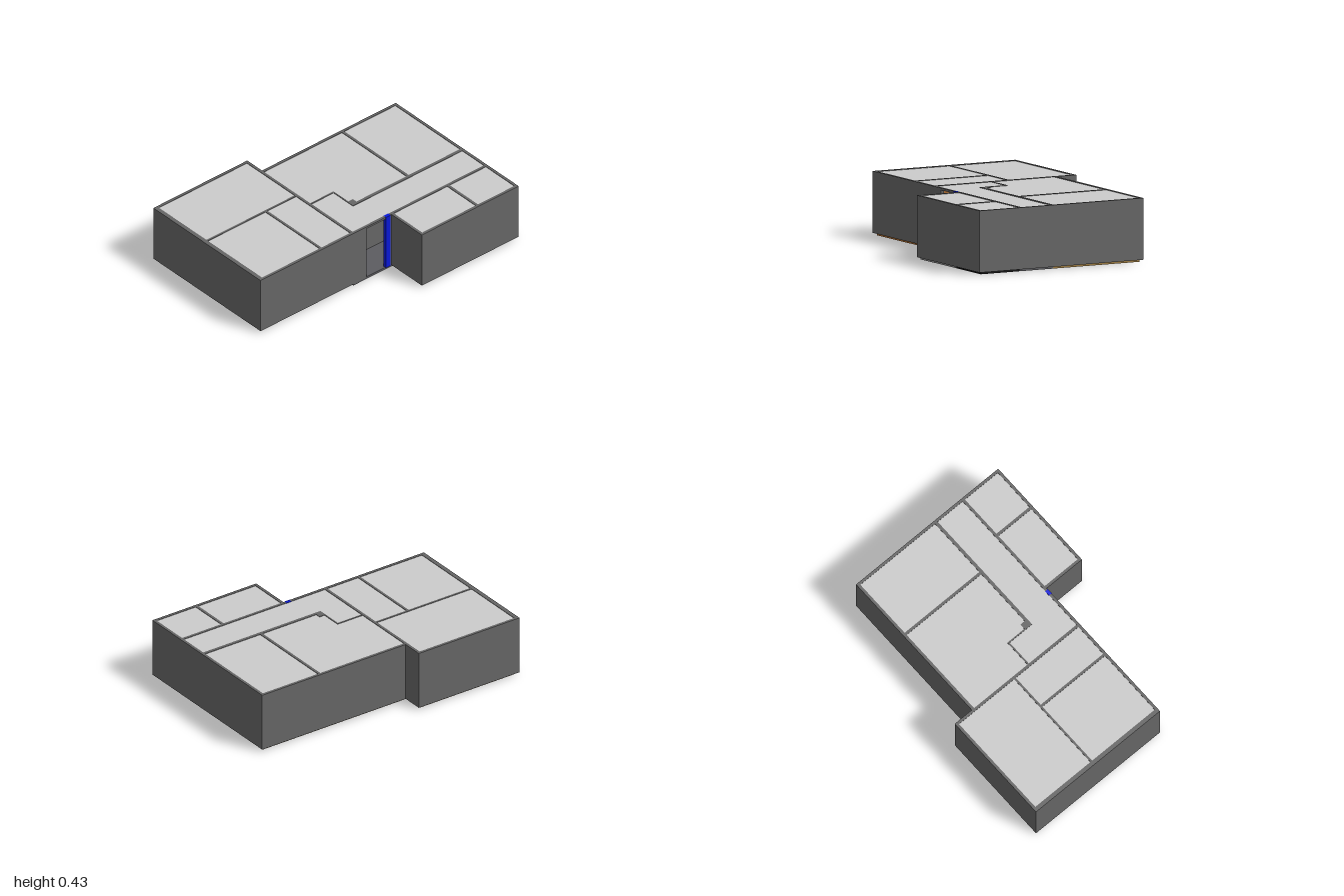
import * as THREE from 'three';

export function createModel() {
  const model = new THREE.Group();
  model.name = 'floorPlanHouse';
  const BASE = 0.015, TOP = 0.43, HEAD = 0.415;

  const mat = (color) => new THREE.MeshStandardMaterial({ color });
  const wallMat = mat(0x666666), ceilingMat = mat(0xcccccc);
  const beige = mat(0xdcb080), brown = mat(0xa8682c), ochre = mat(0x9a7a40);
  const slate = mat(0x5c5c60), grey = mat(0x8c8c8c), black = mat(0x080808);
  const blue = mat(0x0818d8), green = mat(0x2c9c40);

  const group = (name) => {
    const g = new THREE.Group();
    g.name = name;
    model.add(g);
    return g;
  };
  const walls = group('walls'), floors = group('floors');
  const ceilings = group('ceilings'), doors = group('doors');

  // Box given by its extents in plan and height
  function block(parent, name, material, x0, x1, z0, z1, y0 = BASE, y1 = TOP) {
    const mesh = new THREE.Mesh(new THREE.BoxGeometry(x1 - x0, y1 - y0, z1 - z0), material);
    mesh.position.set((x0 + x1) / 2, (y0 + y1) / 2, (z0 + z1) / 2);
    mesh.name = name;
    parent.add(mesh);
  }

  // Walls: [name, x0, x1, z0, z1, y0]
  const wallPlan = [
    ['backWall', -0.55, 0.70, -1, -0.98],
    ['rearLeftWall', -0.55, -0.53, -0.98, 0.175],
    ['wingOuterWall', 0.68, 0.70, -0.98, -0.15],
    ['wingFrontWall', 0.39, 0.68, -0.17, -0.15],
    ['wingPartition', 0.39, 0.68, -0.66, -0.64],
    ['hallSideWall', 0.37, 0.39, -0.98, -0.14],
    ['frontSideWall', 0.37, 0.39, 0.07, 0.97],
    ['entranceLintel', 0.37, 0.39, -0.10, 0.07, HEAD],
    ['middleWall', -0.70, 0.37, 0.175, 0.195],
    ['frontLeftWall', -0.70, -0.68, 0.195, 0.97],
    ['frontWall', -0.70, 0.39, 0.97, 1],
    ['frontRoomDivider', -0.195, -0.18, 0.195, 0.97],
    ['kitchenPartition', -0.18, 0.37, 0.447, 0.465],
    ['bedroomPartition', -0.53, 0.127, -0.53, -0.51],
    ['hallWallRear', 0.127, 0.15, -0.98, -0.48],
    ['hallWallLintel', 0.127, 0.15, -0.48, -0.30, 0.40],
    ['hallWallFront', 0.127, 0.15, -0.30, -0.07],
    ['hallPillar', 0.09, 0.15, -0.07, -0.02],
    ['nicheBackWall', -0.06, 0.09, -0.03, -0.02],
    ['nicheSideWall', -0.06, -0.048, -0.02, 0.175],
  ];
  for (const [name, x0, x1, z0, z1, y0 = BASE] of wallPlan)
    block(walls, name, wallMat, x0, x1, z0, z1, y0);

  // Rooms: each gets a floor slab and a ceiling panel
  const rooms = [
    ['frontLeftRoom', beige, -0.68, -0.19, 0.195, 0.975],
    ['frontRightRoom', brown, -0.185, 0.37, 0.46, 0.975],
    ['kitchen', brown, -0.185, 0.37, 0.195, 0.452],
    ['rearBedroom', ochre, -0.53, 0.13, -0.98, -0.52],
    ['livingRoomRear', beige, -0.53, 0.13, -0.515, -0.025],
    ['livingRoomFront', beige, -0.53, -0.055, -0.025, 0.18],
    ['hall', slate, 0.13, 0.385, -0.98, 0.18],
    ['hallNiche', slate, -0.055, 0.13, -0.025, 0.18],
    ['wingFrontRoom', grey, 0.39, 0.68, -0.645, -0.165],
    ['wingRearRoom', black, 0.39, 0.68, -0.98, -0.652],
  ];
  for (const [name, material, x0, x1, z0, z1] of rooms) {
    block(floors, name + 'Floor', material, x0, x1, z0, z1, 0, BASE + 0.001);
    block(ceilings, name + 'Ceiling', ceilingMat, x0, x1, z0, z1, HEAD, TOP - 0.003);
  }

  // Doors and the entrance post
  block(doors, 'entrancePost', blue, 0.368, 0.393, -0.14, -0.10);
  block(doors, 'nicheDoor', brown, -0.05, -0.042, -0.015, 0.15, BASE, HEAD);
  block(doors, 'livingRoomDoor', brown, 0.148, 0.157, -0.12, -0.012, BASE, HEAD);
  block(doors, 'kitchenDoor', brown, 0.225, 0.32, 0.168, 0.178, BASE, HEAD);
  block(doors, 'hallPanel', green, 0.13, 0.225, 0.168, 0.178, BASE, HEAD);

  return model;
}
